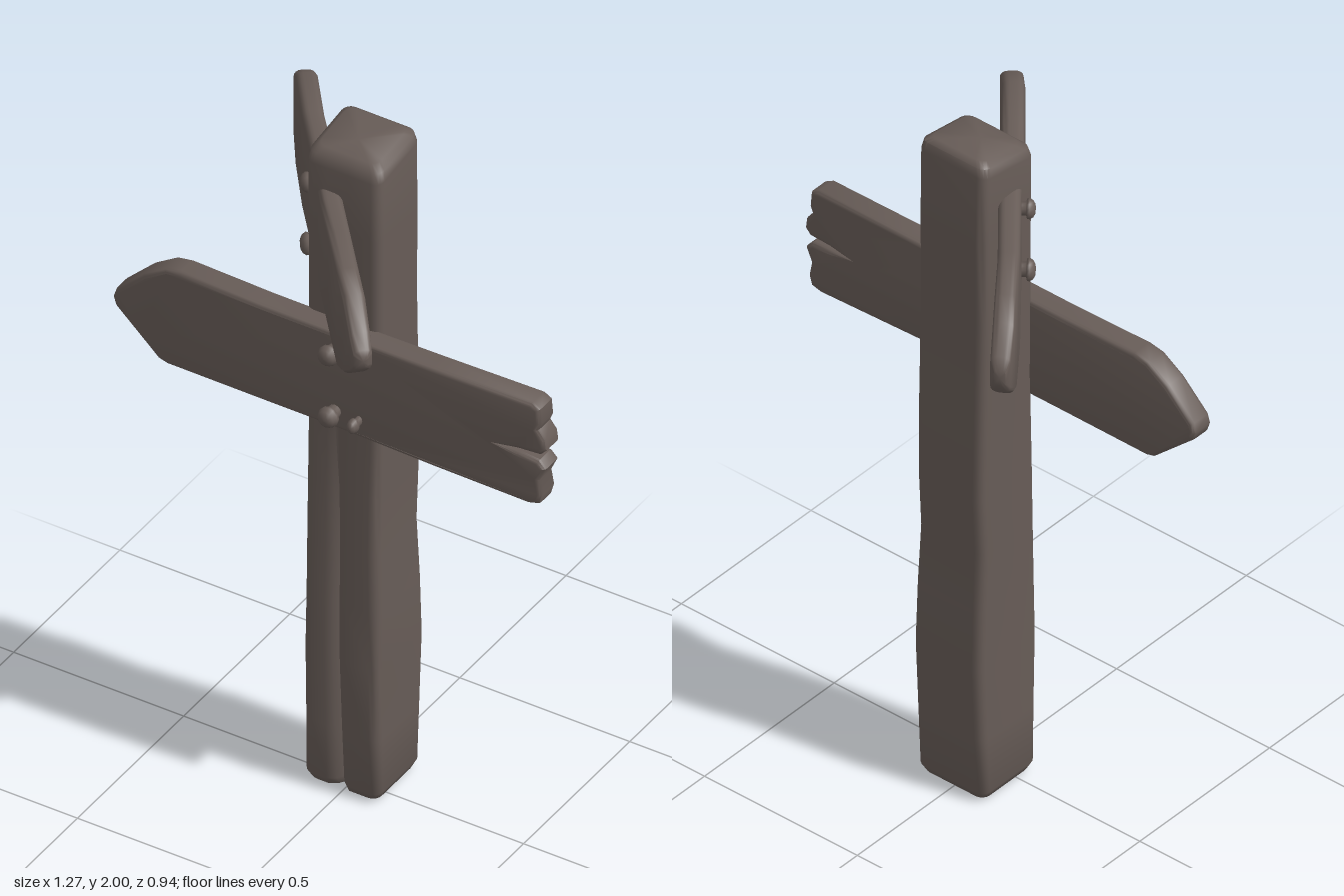
import * as THREE from 'three';
import { toCreasedNormals } from 'three/addons/utils/BufferGeometryUtils.js';

const wood = new THREE.MeshStandardMaterial({ color: 0x675c57 });
wood.name = 'weathered wood';

function addMesh(parent, name, geometry) {
  const mesh = new THREE.Mesh(geometry, wood);
  mesh.name = name;
  parent.add(mesh);
  return mesh;
}

// Skin a list of equal-length rings and close both ends
function loft(rings) {
  const n = rings[0].length, index = [];
  const points = rings.flat();
  for (let i = 0; i < rings.length - 1; i++) {
    for (let j = 0; j < n; j++) {
      const a = i * n + j, b = i * n + (j + 1) % n;
      index.push(a, b, a + n, b, b + n, a + n);
    }
  }
  [rings[0], rings[rings.length - 1]].forEach((ring, end) => {
    const centre = new THREE.Vector3();
    ring.forEach((p) => centre.addScaledVector(p, 1 / n));
    const c = points.push(centre) - 1, base = end ? (rings.length - 1) * n : 0;
    for (let j = 0; j < n; j++) {
      const a = base + j, b = base + (j + 1) % n;
      if (end) index.push(c, a, b); else index.push(c, b, a);
    }
  });
  const g = new THREE.BufferGeometry().setFromPoints(points);
  g.setIndex(index);
  return toCreasedNormals(g, 0.9);
}

// Counter-clockwise rounded rectangle, with an optional groove in its lower side
function roundedRect(u0, u1, v0, v1, r, groove = null) {
  const out = [];
  const corners = [[u1 - r, v1 - r], [u0 + r, v1 - r], [u0 + r, v0 + r], [u1 - r, v0 + r]];
  corners.forEach(([u, v], k) => {
    for (let i = 0; i <= 4; i++) {
      const a = (k + i / 4) * Math.PI / 2;
      out.push([u + r * Math.cos(a), v + r * Math.sin(a)]);
    }
    if (k === 2 && groove !== null) {
      out.push([-0.04, v0], [-0.018, v0 + groove * 0.4], [-0.008, v0 + groove], [0.004, v0 + groove * 0.4], [0.02, v0]);
    }
  });
  return out;
}

// Square post: height, left, right, back, front, groove depth
function postGeometry() {
  const sections = [
    [0.0, -0.085, 0.085, -0.115, 0.035, 0.035],
    [0.008, -0.1, 0.1, -0.132, 0.053, 0.035],
    [0.03, -0.11, 0.11, -0.142, 0.063, 0.033],
    [0.2, -0.108, 0.112, -0.148, 0.068, 0.026],
    [0.42, -0.106, 0.115, -0.155, 0.075, 0.022],
    [0.6, -0.104, 0.114, -0.148, 0.073, 0.02],
    [0.78, -0.105, 0.108, -0.142, 0.068, 0.018],
    [0.95, -0.104, 0.109, -0.15, 0.066, 0.012],
    [1.15, -0.105, 0.112, -0.146, 0.06, 0.004],
    [1.5, -0.105, 0.112, -0.138, 0.06, 0],
    [1.75, -0.106, 0.112, -0.14, 0.06, 0],
    [1.94, -0.107, 0.113, -0.136, 0.06, 0],
    [1.967, -0.102, 0.108, -0.131, 0.053, 0],
    [1.98, -0.085, 0.09, -0.115, 0.035, 0],
  ];
  return loft(sections.map(([y, l, r, back, front, groove]) =>
    roundedRect(l, r, -front, -back, 0.025, groove).map(([u, v]) =>
      new THREE.Vector3(u, y + (y > 1.9 ? v * 0.15 : 0), -v))));
}

// Bent double-pointed board: x, z, bottom, top, thickness
function upperSignGeometry() {
  const sections = [
    [-0.438, -0.468, 1.68, 1.725, 0.03],
    [-0.428, -0.452, 1.645, 1.755, 0.052],
    [-0.39, -0.395, 1.59, 1.81, 0.056],
    [-0.352, -0.343, 1.55, 1.85, 0.056],
    [-0.25, -0.21, 1.545, 1.855, 0.056],
    [-0.1, -0.03, 1.552, 1.865, 0.058],
    [-0.015, 0.08, 1.555, 1.862, 0.058],
    [0.08, 0.195, 1.56, 1.868, 0.058],
    [0.18, 0.315, 1.56, 1.87, 0.058],
    [0.232, 0.37, 1.6, 1.845, 0.058],
    [0.285, 0.427, 1.66, 1.785, 0.054],
    [0.308, 0.45, 1.69, 1.75, 0.048],
    [0.315, 0.458, 1.705, 1.738, 0.025],
  ];
  return loft(sections.map(([x, z, y0, y1, t], i) => {
    const p = sections[Math.max(i - 1, 0)], q = sections[Math.min(i + 1, sections.length - 1)];
    const d = new THREE.Vector2(q[0] - p[0], q[1] - p[1]).normalize();
    return roundedRect(y0, y1, -t / 2, t / 2, Math.min(t, y1 - y0) * 0.33).map(([y, n]) =>
      new THREE.Vector3(x - d.y * n, y, z + d.x * n));
  }));
}

// Straight board with a pointed left end and a split right end
function lowerSignGeometry() {
  const outline = [
    [-0.64, 1.325], [-0.632, 1.35], [-0.55, 1.43], [-0.485, 1.472], [-0.44, 1.48], [-0.2, 1.474],
    [0.05, 1.474], [0.3, 1.476], [0.59, 1.478], [0.613, 1.465], [0.617, 1.42], [0.609, 1.4],
    [0.628, 1.375], [0.632, 1.345], [0.615, 1.326], [0.55, 1.322], [0.49, 1.315], [0.55, 1.312],
    [0.61, 1.306], [0.63, 1.285], [0.612, 1.245], [0.62, 1.2], [0.612, 1.172], [0.58, 1.163],
    [0.3, 1.17], [0.05, 1.178], [-0.2, 1.178], [-0.48, 1.178], [-0.505, 1.185], [-0.56, 1.235], [-0.632, 1.3],
  ];
  const g = new THREE.ExtrudeGeometry(new THREE.Shape(outline.map((p) => new THREE.Vector2(...p))), {
    depth: 0.046, bevelEnabled: true, bevelThickness: 0.012, bevelSize: 0.012, bevelOffset: -0.012, bevelSegments: 3,
  });
  g.translate(0, 0, 0.058);
  // slight warp along the length
  const pos = g.attributes.position;
  for (let i = 0; i < pos.count; i++) {
    const x = pos.getX(i);
    pos.setZ(i, pos.getZ(i) - (x > 0 ? 0.017 : 0.006) * x * x);
  }
  return toCreasedNormals(g, 0.7);
}

// Mushroom-headed bolt pointing along +z
function addBolt(parent, name, x, y, z, radius, height, turn = 0, squash = 1) {
  const profile = [[0.65, -0.2], [0.65, 0.35], [0.95, 0.42], [1, 0.6], [0.8, 0.85], [0.45, 1], [0, 1.02]];
  const g = new THREE.LatheGeometry(profile.map(([r, h]) => new THREE.Vector2(r * radius, h * height)), 12);
  g.rotateX(Math.PI / 2);
  const bolt = addMesh(parent, name, g);
  bolt.position.set(x, y, z);
  bolt.rotation.y = turn;
  bolt.scale.x = squash;
}

export function createModel() {
  const group = new THREE.Group();
  group.name = 'signpost';
  addMesh(group, 'post', postGeometry());
  addMesh(group, 'upperSign', upperSignGeometry());
  addMesh(group, 'lowerSign', lowerSignGeometry());

  // Bolts and bent nails on the lower board
  for (const y of [1.422, 1.23]) {
    addBolt(group, 'lowerBolt', 0.015, y, 0.115, 0.029, 0.05);
    addBolt(group, 'lowerNail', 0.086, y - 0.002, 0.115, 0.021, 0.043, 0, 0.75);
  }
  // Bolts on the upper board
  addBolt(group, 'upperBolt', -0.122, 1.812, -0.012, 0.027, 0.036, -0.9);
  addBolt(group, 'upperBolt', -0.122, 1.62, -0.012, 0.03, 0.036, -0.9);
  return group;
}
